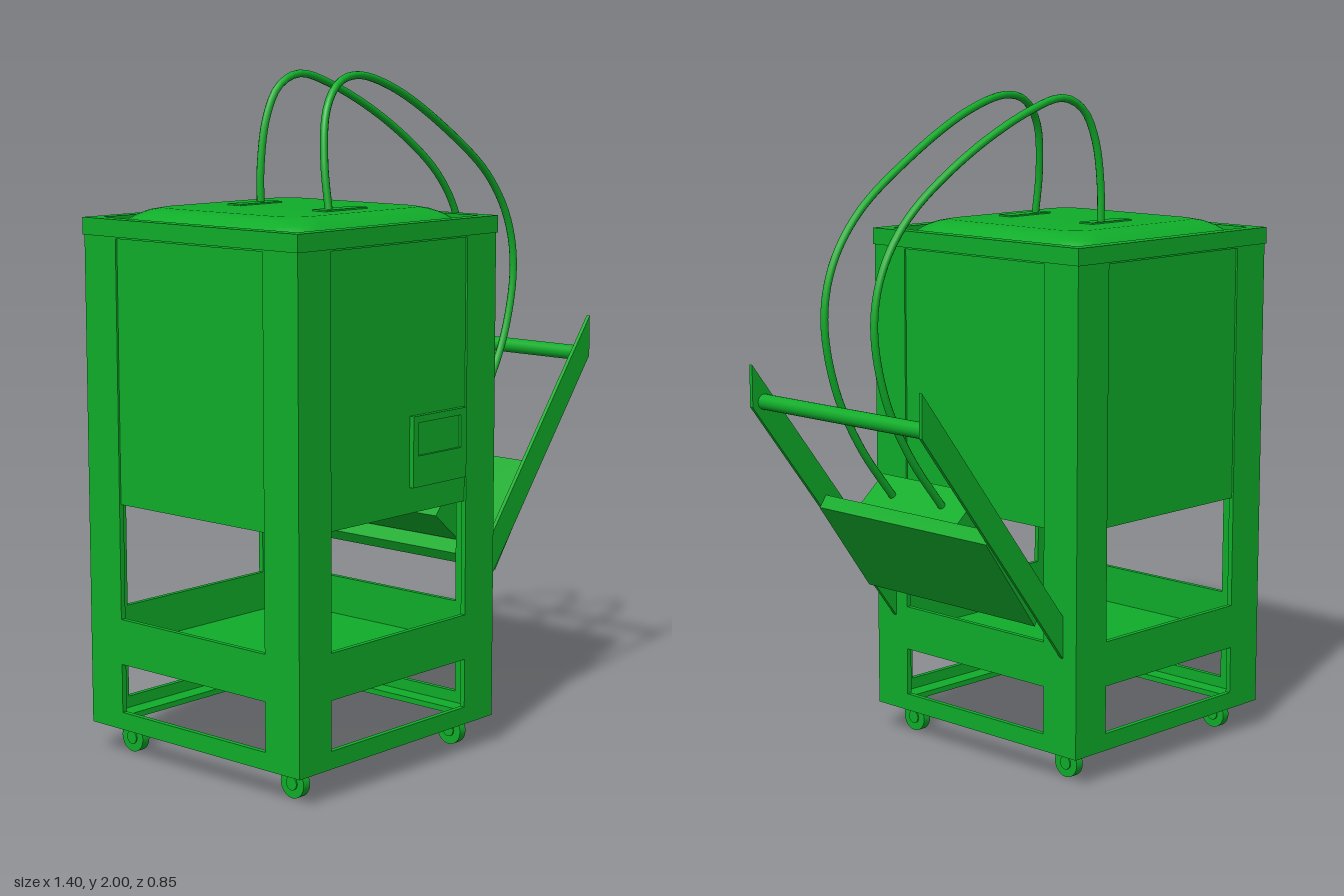
import * as THREE from 'three';

const CX = -0.28, CZ = -0.003;          // cabinet centre
const HALF = 0.42;                      // cabinet half width
const BOTTOM = 0.088, RIM = 1.535, TOP = 1.585;

export function createModel() {
  const model = new THREE.Group();
  const mat = new THREE.MeshStandardMaterial({ color: 0x10ad2a, side: THREE.DoubleSide });

  const add = (name, geo, parent = model) => {
    const mesh = new THREE.Mesh(geo, mat);
    mesh.name = name;
    parent.add(mesh);
    return mesh;
  };
  // Box given by its limits on each axis
  const box = (name, x0, x1, y0, y1, z0, z1, parent) =>
    add(name, new THREE.BoxGeometry(x1 - x0, y1 - y0, z1 - z0)
      .translate((x0 + x1) / 2, (y0 + y1) / 2, (z0 + z1) / 2), parent);
  const polygon = (pts) => new THREE.Shape(pts.map(([x, y]) => new THREE.Vector2(x, y)));
  const rect = (x0, x1, y0, y1) => polygon([[x0, y0], [x1, y0], [x1, y1], [x0, y1]]);
  const extrude = (shape, depth) =>
    new THREE.ExtrudeGeometry(shape, { depth, bevelEnabled: false, curveSegments: 8 });
  // Flat square ring lying around the cabinet axis
  const ring = (name, outer, inner, y0, y1) => {
    const shape = rect(-outer, outer, -outer, outer);
    shape.holes.push(rect(-inner, inner, -inner, inner));
    return add(name, extrude(shape, y1 - y0).rotateX(-Math.PI / 2).translate(CX, y0, CZ));
  };

  // Four frame sides: posts, top rail, tray rail and base rail with openings between
  for (let i = 0; i < 4; i++) {
    const side = rect(-HALF, HALF, BOTTOM, TOP - 0.002);
    for (const [y0, y1] of [[0.14, 0.285], [0.42, 0.76], [0.76, 1.53]]) {
      if (y0 === 0.76) continue;
      side.holes.push(rect(-0.29, 0.29, y0, y1));
    }
    // panel recess above the upper opening, joined with it
    side.holes[1] = rect(-0.29, 0.29, 0.42, 1.53);
    const geo = extrude(side, 0.016).translate(0, 0, HALF - 0.016)
      .rotateY(i * Math.PI / 2).translate(CX, 0, CZ);
    add('frameSide', geo);
  }
  // Closed upper cabinet, set slightly behind the frame
  const P = HALF - 0.006;
  box('cabinetBody', CX - P, CX + P, 0.76, 1.53, CZ - P, CZ + P);
  box('trayFloor', CX - 0.41, CX + 0.41, 0.287, 0.3, CZ - 0.41, CZ + 0.41);
  ring('baseFlange', HALF - 0.002, HALF - 0.07, BOTTOM, 0.105);
  ring('topRim', HALF + 0.004, 0.383, RIM, TOP);

  // Domed lid: rounded square loops of growing height
  const lidRings = [[0.383, 1.53], [0.378, 1.552], [0.362, 1.575], [0.34, 1.592], [0.312, 1.605], [0.28, 1.612]];
  const perCorner = 7, n = perCorner * 4, pos = [], idx = [];
  for (const [h, y] of lidRings) {
    const r = 0.1 * h / 0.383;
    for (let c = 0; c < 4; c++) {
      for (let k = 0; k < perCorner; k++) {
        const a = (c + k / (perCorner - 1)) * Math.PI / 2;
        const sx = c === 0 || c === 3 ? 1 : -1, sz = c < 2 ? 1 : -1;
        pos.push(CX + sx * (h - r) + r * Math.cos(a), y, CZ - 0.003 + sz * (h - r) + r * Math.sin(a));
      }
    }
  }
  for (let j = 0; j < lidRings.length - 1; j++) {
    for (let k = 0; k < n; k++) {
      const a = j * n + k, b = j * n + (k + 1) % n;
      idx.push(a, a + n, b, b, a + n, b + n);
    }
  }
  const last = (lidRings.length - 1) * n;
  pos.push(CX, 1.613, CZ);
  for (let k = 0; k < n; k++) idx.push(last + k, lidRings.length * n, last + (k + 1) % n);
  const lid = new THREE.BufferGeometry();
  lid.setAttribute('position', new THREE.Float32BufferAttribute(pos, 3));
  lid.setIndex(idx);
  lid.computeVertexNormals();
  add('lid', lid);

  // Control panel with a recessed screen on the front
  const bezel = rect(-0.235, 0, 0.835, 1.04);
  bezel.holes.push(rect(-0.215, -0.025, 0.925, 1.02));
  add('controlPanel', extrude(bezel, 0.02).translate(0, 0, 0.406));
  box('screen', -0.22, -0.02, 0.92, 1.025, 0.405, 0.418);

  // Casters under the corners
  for (const x of [-0.62, 0.063]) {
    for (const z of [-0.325, 0.325]) {
      const caster = new THREE.Group();
      caster.name = 'caster';
      caster.position.set(x, 0.044, z);
      add('wheel', new THREE.CylinderGeometry(0.044, 0.044, 0.026, 24).rotateZ(Math.PI / 2), caster);
      add('hub', new THREE.CylinderGeometry(0.02, 0.02, 0.034, 16).rotateZ(Math.PI / 2), caster);
      model.add(caster);
    }
  }

  // Slanted bracket: two side plates, a handle bar and a cross panel
  const plate = polygon([[0.14, 0.385], [0.7, 1.11], [0.7, 1.235], [0.14, 0.51]]);
  for (const z of [-0.371, 0.335]) add('bracketPlate', extrude(plate, 0.012).translate(0, 0, z));
  add('handleBar', new THREE.CylinderGeometry(0.023, 0.023, 0.7, 20)
    .rotateX(Math.PI / 2).translate(0.657, 1.122, -0.012));
  const cross = polygon([[0.25, 0.502], [0.448, 0.775], [0.424, 0.81], [0.23, 0.535]]);
  add('crossPanel', extrude(cross, 0.7).translate(0, 0, -0.362));

  // Tilted housing that receives the hoses
  const housing = polygon([[0.14, 0.665], [0.25, 0.573], [0.43, 0.788], [0.32, 0.88]]);
  add('hoseHousing', extrude(housing, 0.405).translate(0, 0, -0.21));

  // Hoses from the lid ports over to the housing
  const hose = (pts) => add('hose', new THREE.TubeGeometry(
    new THREE.CatmullRomCurve3(pts.map((p) => new THREE.Vector3(...p))), 72, 0.0115, 10));
  const fall = (z) => [[0.5, 1.67, z], [0.598, 1.53, z], [0.63, 1.38, z], [0.592, 1.18, z],
    [0.5, 1.0, z], [0.365, 0.825, z]];
  hose([[-0.32, 1.6, 0.182], [-0.318, 1.75, 0.162], [-0.285, 1.89, 0.14], [-0.215, 1.965, 0.122],
    [-0.12, 1.987, 0.112], [0.05, 1.945, 0.105], [0.3, 1.815, 0.1], ...fall(0.098)]);
  hose([[-0.237, 1.6, -0.167], [-0.235, 1.72, -0.168], [-0.21, 1.86, -0.168], [-0.16, 1.95, -0.166],
    [-0.08, 1.987, -0.16], [0.05, 1.955, -0.15], [0.3, 1.83, -0.132], ...fall(-0.109)]);

  // Port plates on the lid
  for (const z of [-0.155, 0.18]) box('hosePort', -0.36, -0.185, 1.6, 1.617, z - 0.026, z + 0.026);

  return model;
}
